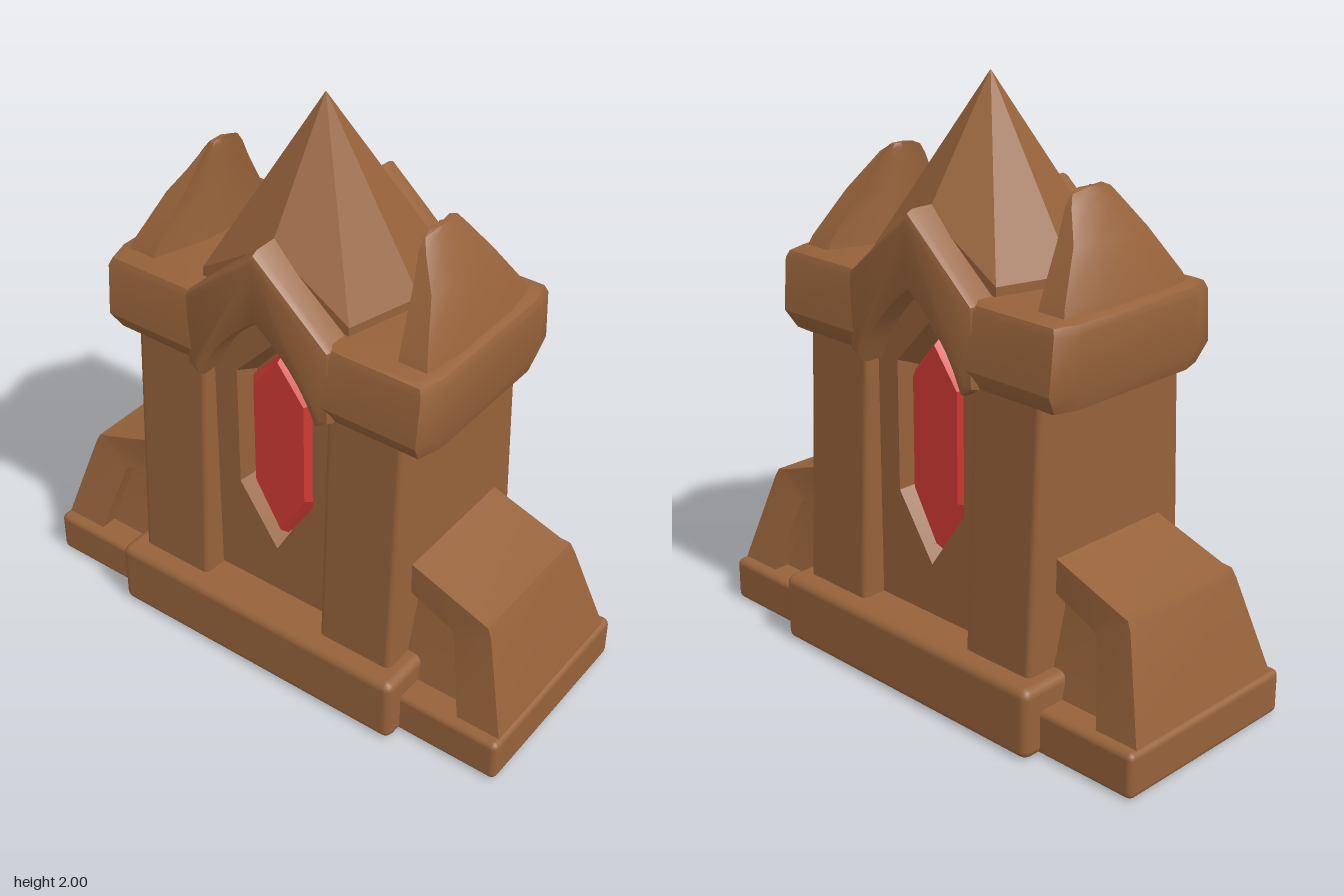
import * as THREE from 'three';
import { toCreasedNormals } from 'three/addons/utils/BufferGeometryUtils.js';
import { RoundedBoxGeometry } from 'three/addons/geometries/RoundedBoxGeometry.js';

// Closed solid from equal-length loops of [x, y, z], capped at both ends
function loft(loops, crease = 0.5) {
  const tris = [];
  const n = loops[0].length;
  for (let i = 0; i < loops.length - 1; i++) {
    for (let j = 0; j < n; j++) {
      const k = (j + 1) % n;
      const [a, b, c, d] = [loops[i][j], loops[i][k], loops[i + 1][k], loops[i + 1][j]];
      tris.push([a, b, c], [a, c, d]);
    }
  }
  const cap = (loop, flip) => {
    const m = [0, 1, 2].map((q) => loop.reduce((s, p) => s + p[q], 0) / n);
    loop.forEach((p, j) => {
      const r = loop[(j + 1) % n];
      tris.push(flip ? [m, r, p] : [m, p, r]);
    });
  };
  cap(loops[0], true);
  cap(loops[loops.length - 1], false);
  // Turn all faces outward
  const v = tris.map((t) => t.map((p) => new THREE.Vector3(...p)));
  const volume = v.reduce((s, [a, b, c]) => s + a.dot(b.clone().cross(c)), 0);
  const points = v.flatMap(([a, b, c]) => (volume < 0 ? [a, c, b] : [a, b, c]));
  const g = new THREE.BufferGeometry().setFromPoints(points);
  return toCreasedNormals(g, crease);
}

export function createModel() {
  const model = new THREE.Group();
  model.name = 'shrine';
  const stone = new THREE.MeshStandardMaterial({ color: 0x96623a });
  stone.name = 'brown stone';
  const red = new THREE.MeshStandardMaterial({ color: 0xd23a34 });
  red.name = 'red crystal';

  const add = (name, geometry, material = stone, turn = 0) => {
    const mesh = new THREE.Mesh(geometry, material);
    mesh.name = name;
    mesh.rotation.y = turn;
    model.add(mesh);
  };
  // One copy on each of two opposite sides
  const addPair = (name, geometry, material = stone) => {
    add(name + 'A', geometry, material);
    add(name + 'B', geometry, material, Math.PI);
  };

  // Stepped base
  add('baseCentre', new RoundedBoxGeometry(0.86, 0.24, 1.15, 2, 0.03).translate(0, 0.12, 0));
  add('baseEnds', new RoundedBoxGeometry(0.73, 0.155, 1.88, 2, 0.022).translate(0, 0.0775, 0));

  // Pillars, narrowing upward
  const pillar = new RoundedBoxGeometry(0.72, 1.02, 0.28, 2, 0.02).translate(0, 0.69, 0.38);
  const pos = pillar.attributes.position;
  for (let i = 0; i < pos.count; i++) {
    pos.setX(i, pos.getX(i) * (1 - 0.125 * (pos.getY(i) - 0.2)));
  }
  addPair('pillar', pillar);

  // Buttress slab and the narrower body below it: [outer z, y, inner z, y, half width]
  const strip = (rows) => loft(rows.map(([oz, oy, iz, iy, w]) =>
    [[-w, oy, oz], [w, oy, oz], [w, iy, iz], [-w, iy, iz]]), 0.6);
  addPair('buttressSlab', strip([
    [0.93, 0.14, 0.77, 0.14, 0.33],
    [0.83, 0.48, 0.7, 0.4, 0.255],
    [0.815, 0.51, 0.69, 0.42, 0.25],
    [0.78, 0.517, 0.67, 0.43, 0.245],
    [0.5, 0.615, 0.5, 0.5, 0.24],
  ]));
  addPair('buttressBody', strip([
    [0.8, 0.14, 0.48, 0.14, 0.27],
    [0.72, 0.43, 0.48, 0.42, 0.2],
    [0.5, 0.53, 0.48, 0.52, 0.19],
  ]));

  // Pillar caps with chamfered top and bottom
  const capLoop = ([y, w, z]) => [
    [-w, y, 0.24], [-w, y, z - 0.025], [-w * 0.76, y, z],
    [w * 0.76, y, z], [w, y, z - 0.025], [w, y, 0.24],
  ];
  addPair('pillarCap', loft([
    [1.1, 0.3, 0.575], [1.115, 0.325, 0.605], [1.18, 0.365, 0.62],
    [1.355, 0.35, 0.622], [1.38, 0.34, 0.612], [1.39, 0.32, 0.59],
  ].map(capLoop)));

  // Curved horns on the caps: [y, half width, front z, back edge z, back centre z]
  const hornLoop = ([y, w, f, e, c]) => [
    [-w, y, f - 0.02], [-w * 0.5, y, f], [w * 0.5, y, f], [w, y, f - 0.02],
    [w, y, e], [w * 0.35, y, c + 0.012], [0, y, c], [-w * 0.35, y, c + 0.012], [-w, y, e],
  ];
  addPair('horn', loft([
    [1.37, 0.285, 0.595, 0.47, 0.395],
    [1.42, 0.265, 0.58, 0.465, 0.398],
    [1.57, 0.165, 0.52, 0.435, 0.405],
    [1.66, 0.11, 0.46, 0.415, 0.407],
    [1.695, 0.085, 0.44, 0.412, 0.408],
    [1.71, 0.05, 0.432, 0.414, 0.41],
  ].map(hornLoop), 0.7));

  // Side walls with a pointed, bevelled niche; outlines as [z, y]
  const mirrorOutline = (half) => [
    ...half,
    ...half.slice(1, -1).reverse().map(([z, y]) => [-z, y]),
  ];
  const atX = (outline, x) => outline.map(([z, y]) => [x, y, z]);
  const wall = mirrorOutline([[0, 1.5], [0.26, 1.3], [0.26, 0.64], [0.26, 0.2], [0, 0.2]]);
  const niche = mirrorOutline([[0, 1.25], [0.15, 1.09], [0.15, 0.64], [0.075, 0.53], [0, 0.42]]);
  const recess = mirrorOutline([[0, 1.21], [0.132, 1.06], [0.132, 0.65], [0.066, 0.55], [0, 0.445]]);
  addPair('nicheWall', loft([
    atX(wall, 0), atX(wall, 0.27), atX(niche, 0.27), atX(recess, 0.19),
  ], 0.2));

  // Faceted crystals set in the niches
  const gem = mirrorOutline([[0, 1.2], [0.13, 1.05], [0.13, 0.65], [0, 0.45]]);
  const gemFace = mirrorOutline([[0, 1.17], [0.1, 1.04], [0.1, 0.66], [0, 0.49]]);
  addPair('crystal', loft([atX(gem, 0.15), atX(gem, 0.21), atX(gemFace, 0.25)], 0.2), red);

  // Pointed gables above the niches
  const arch = new THREE.Shape();
  arch.moveTo(-0.25, 1.365);
  arch.lineTo(0, 1.585);
  arch.lineTo(0.25, 1.365);
  arch.lineTo(0.25, 1.13);
  arch.lineTo(0.235, 1.12);
  arch.quadraticCurveTo(0.17, 1.28, 0, 1.4);
  arch.quadraticCurveTo(-0.17, 1.28, -0.235, 1.12);
  arch.lineTo(-0.25, 1.13);
  const gable = new THREE.ExtrudeGeometry(arch, {
    depth: 0.2, bevelThickness: 0.03, bevelSize: 0.028, bevelSegments: 2, curveSegments: 6,
  });
  gable.translate(0, 0, 0.135).rotateY(Math.PI / 2);
  addPair('gable', toCreasedNormals(gable, 0.6));

  // Pointed roof
  const roofRing = (k, dy) => [
    [0, 1.42, 0.35], [0.26, 1.42, 0.28], [0.268, 1.6, 0],
    [0.26, 1.42, -0.28], [0, 1.42, -0.35], [-0.26, 1.42, -0.28],
    [-0.268, 1.6, 0], [-0.26, 1.42, 0.28],
  ].map(([x, y, z]) => [x * k, 2 + (y - 2) * k + dy, z * k]);
  add('roof', loft([roofRing(1, -0.06), roofRing(1, 0), roofRing(0.005, 0)], 0.2));

  return model;
}
